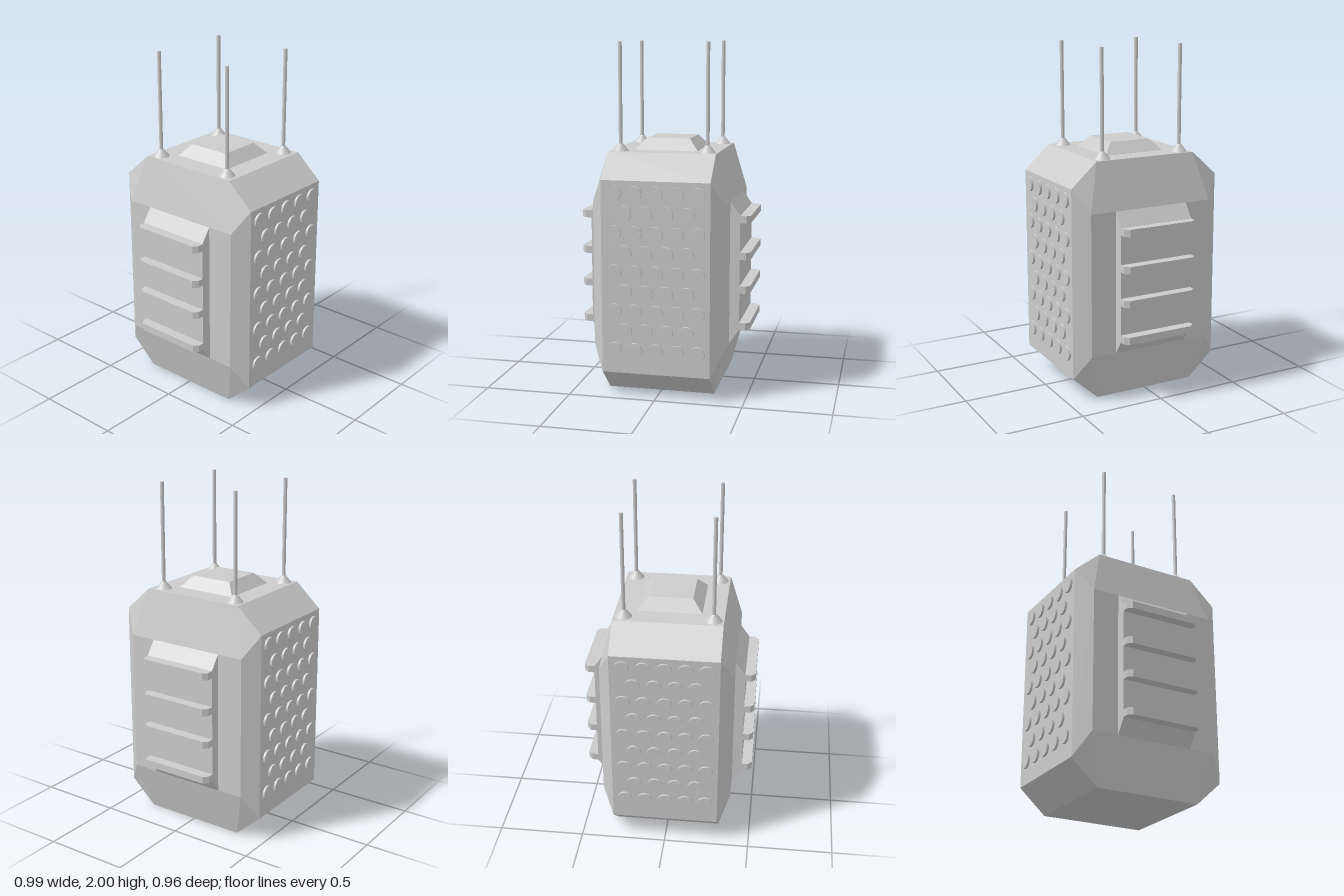
import * as THREE from 'three';
import { ConvexGeometry } from 'three/addons/geometries/ConvexGeometry.js';

const grey = new THREE.MeshStandardMaterial({ color: 0xcccccc });
const flat = new THREE.MeshStandardMaterial({ color: 0xcccccc, flatShading: true });

function add(parent, name, geometry, material = flat) {
  const mesh = new THREE.Mesh(geometry, material);
  mesh.name = name;
  parent.add(mesh);
  return mesh;
}

// Hull of points given as [x, y, z], mirrored across x and z
function mirroredHull(points) {
  const all = [];
  for (const [x, y, z] of points)
    for (const sx of [-1, 1])
      for (const sz of [-1, 1]) all.push(new THREE.Vector3(x * sx, y, z * sz));
  return new ConvexGeometry(all);
}

function extrude(points, depth) {
  const shape = new THREE.Shape(points.map(([x, y]) => new THREE.Vector2(x, y)));
  return new THREE.ExtrudeGeometry(shape, { depth, bevelEnabled: false }).translate(0, 0, -depth / 2);
}

export function createModel() {
  const model = new THREE.Group();
  model.name = 'device';

  // Main casing with chamfered corners
  add(model, 'casing', mirroredHull([
    [0.31, 0, 0.31], [0.31, 0.14, 0.465], [0.38, 0.28, 0.38],
    [0.38, 1.11, 0.38], [0.31, 1.245, 0.465], [0.31, 1.385, 0.31],
  ]));

  // Raised plate on the top
  add(model, 'topPlate', mirroredHull([[0.187, 1.38, 0.187], [0.125, 1.45, 0.125]]));

  // Antennas on conical feet
  const footGeometry = new THREE.CylinderGeometry(0.013, 0.047, 0.042, 24);
  const rodGeometry = new THREE.CylinderGeometry(0.011, 0.011, 0.6, 12);
  for (const x of [-0.252, 0.252]) {
    for (const z of [-0.252, 0.245]) {
      const antenna = new THREE.Group();
      antenna.name = 'antenna';
      antenna.position.set(x, 1.385, z);
      add(antenna, 'antennaFoot', footGeometry, grey).position.y = 0.021;
      add(antenna, 'antennaRod', rodGeometry, grey).position.y = 0.315;
      model.add(antenna);
    }
  }

  // Side panels with four cooling fins each
  const panelGeometry = extrude([[0.37, 0.28], [0.38, 0.28], [0.437, 0.363], [0.437, 1.03], [0.38, 1.11], [0.37, 1.11]], 0.452);
  const finGeometry = extrude([[0.42, -0.226], [0.473, -0.226], [0.496, -0.2], [0.496, 0.2], [0.473, 0.226], [0.42, 0.226]], 0.042);
  finGeometry.rotateX(Math.PI / 2);
  for (const turn of [0, Math.PI]) {
    const side = new THREE.Group();
    side.name = turn ? 'rightSide' : 'leftSide';
    side.rotation.y = turn;
    add(side, 'sidePanel', panelGeometry);
    for (const y of [0.384, 0.6, 0.796, 1.008]) add(side, 'coolingFin', finGeometry).position.y = y;
    model.add(side);
  }

  // Staggered round studs on the front and back
  const studGeometry = new THREE.CylinderGeometry(0.044, 0.044, 0.022, 24).rotateX(Math.PI / 2);
  for (const turn of [0, Math.PI]) {
    const studs = new THREE.Group();
    studs.name = turn ? 'backStuds' : 'frontStuds';
    studs.rotation.y = turn;
    for (let row = 0; row < 9; row++) {
      const count = row % 2 ? 4 : 5;
      for (let i = 0; i < count; i++) {
        const x = (i - (count - 1) / 2) * 0.119;
        add(studs, 'stud', studGeometry, grey).position.set(x, 1.174 - row * 0.1122, 0.467);
      }
    }
    model.add(studs);
  }

  return model;
}
